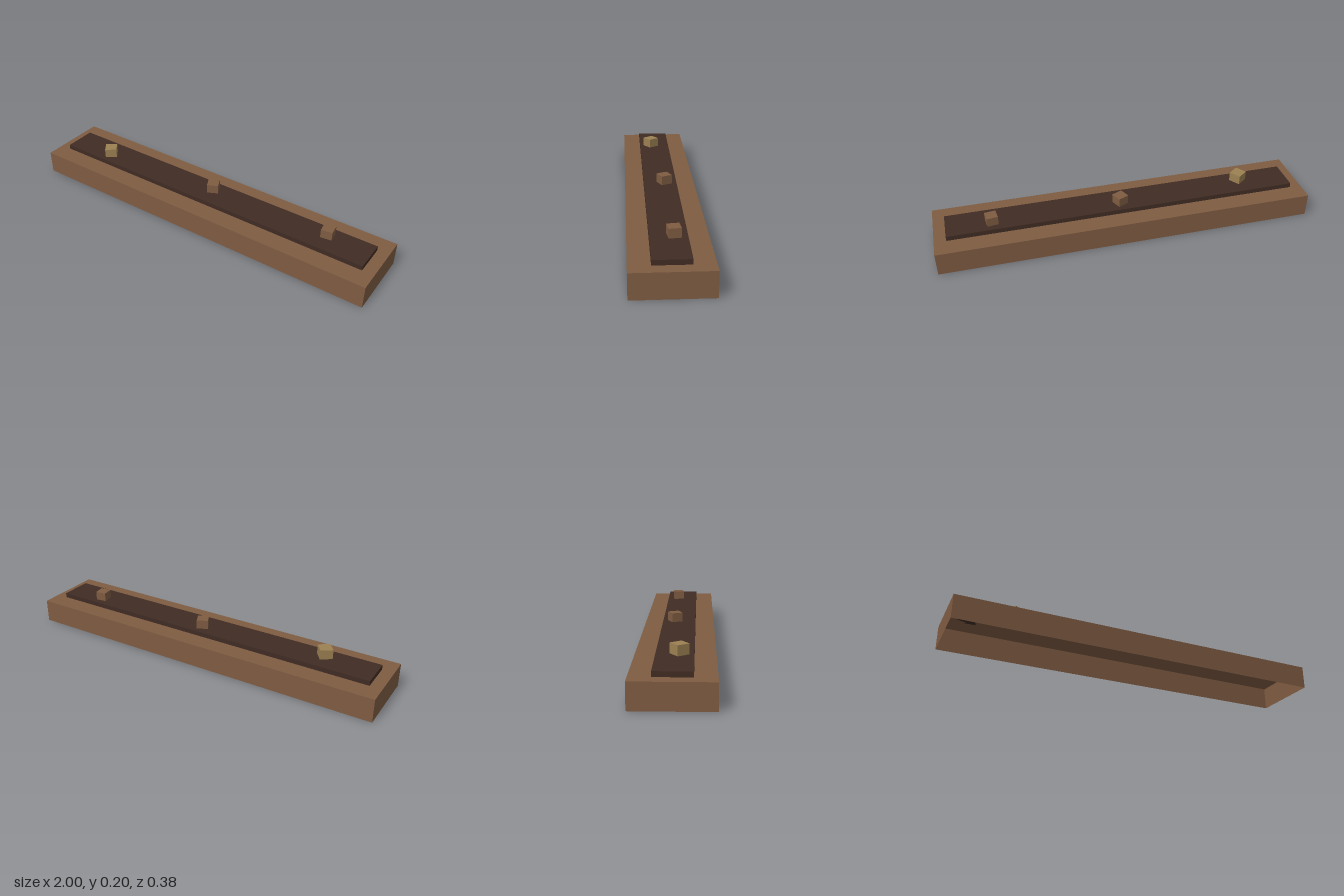
import * as THREE from 'three';

export function createModel() {
  const group = new THREE.Group();
  const material = (name, color, side = THREE.FrontSide) => {
    const m = new THREE.MeshStandardMaterial({ color, side });
    m.name = name;
    return m;
  };
  const wood = material('brown wood', 0x7f5c42, THREE.DoubleSide);
  const soil = material('dark soil', 0x402c23);
  const straw = material('straw yellow', 0x9c8152);

  const add = (name, geometry, mat, x, y, z, turn = 0) => {
    const mesh = new THREE.Mesh(geometry, mat);
    mesh.name = name;
    mesh.position.set(x, y, z);
    mesh.rotation.y = THREE.MathUtils.degToRad(turn);
    group.add(mesh);
  };

  // Thin-walled trough shell, open underneath: keep every box face but the bottom
  const shell = new THREE.BoxGeometry(2, 0.125, 0.375);
  const index = Array.from(shell.index.array);
  index.splice(18, 6);
  shell.setIndex(index);
  shell.clearGroups();
  add('troughShell', shell, wood, 0, 0.0625, 0);

  // Soil bed lying on top
  add('soilBed', new THREE.BoxGeometry(1.875, 0.025, 0.175), soil, 0, 0.1375, 0);

  // Small turned clods: name, material, size, top, x, z, turn in degrees
  const clods = [
    ['strawClod', straw, 0.064, 0.2, -0.665, 0.021, 36],
    ['middleClod', wood, 0.06, 0.198, 0.02, -0.022, 25],
    ['leftClod', wood, 0.059, 0.197, 0.701, -0.024, 7],
  ];
  for (const [name, mat, size, top, x, z, turn] of clods) {
    const height = top - 0.145;
    add(name, new THREE.BoxGeometry(size, height, size), mat, x, top - height / 2, z, turn);
  }
  return group;
}
